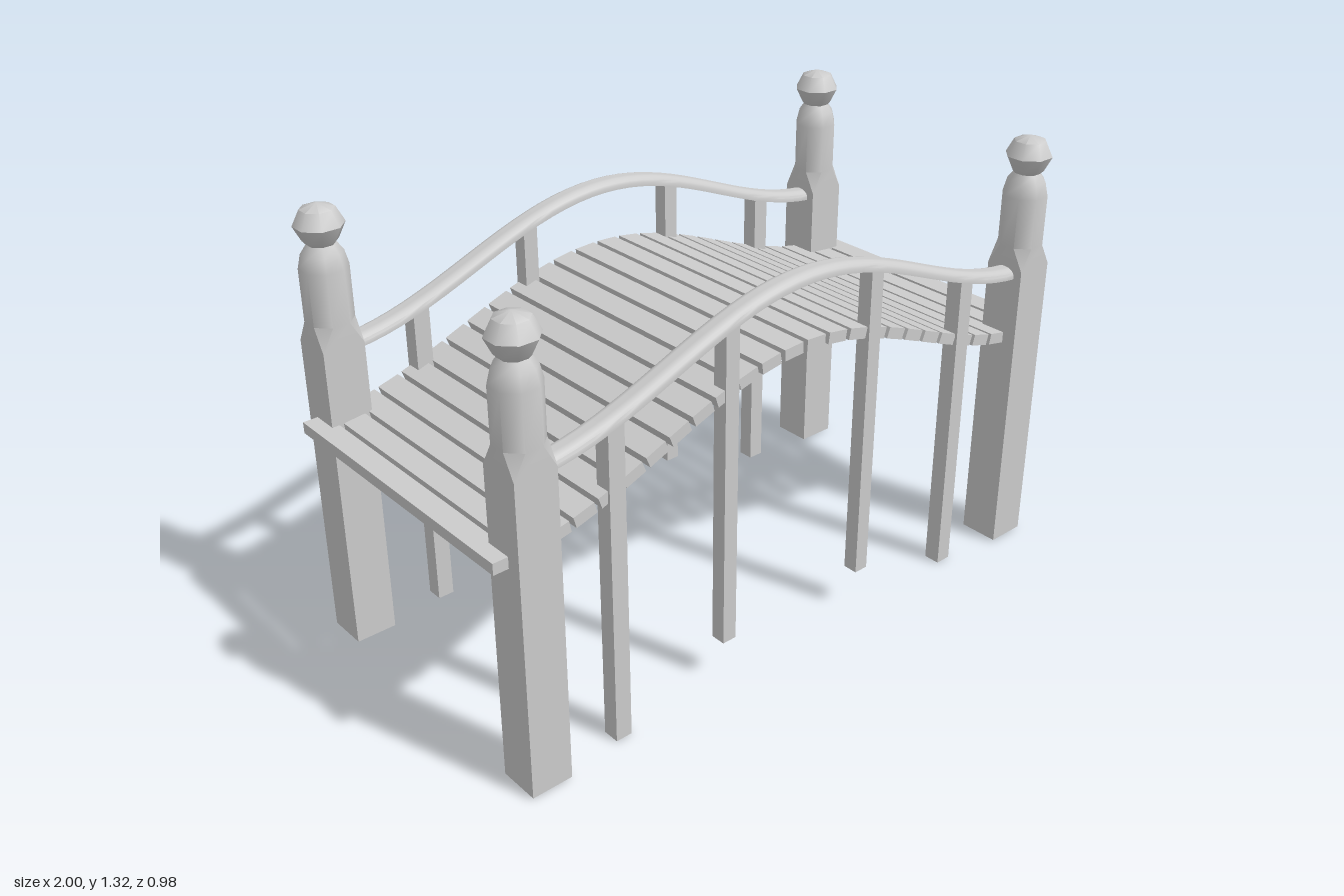
import * as THREE from 'three';
import { toCreasedNormals } from 'three/addons/utils/BufferGeometryUtils.js';

const SIDE_Z = 0.427;
const hump = (x, half) => (1 + Math.cos(Math.PI * Math.min(Math.abs(x) / half, 1))) / 2;
const deckY = (x) => 0.692 + 0.25 * hump(x, 0.97);
const railY = (x) => 0.909 + 0.235 * hump(x, 0.91);
const slope = (f, x) => (f(x + 0.001) - f(x - 0.001)) / 0.002;

// Joins rings [y, radius, spread]: spread 0 is a square, PI / 8 an octagon
function loft(rings) {
  const points = rings.map(([y, r, spread]) =>
    Array.from({ length: 8 }, (_, i) => {
      const a = Math.PI / 4 + Math.floor(i / 2) * Math.PI / 2 + (i % 2 ? spread : -spread);
      return new THREE.Vector3(r * Math.sin(a), y, r * Math.cos(a));
    }));
  const pos = [];
  const tri = (...t) => {
    if (new THREE.Triangle(...t).getArea() > 1e-8) t.forEach((p) => pos.push(p.x, p.y, p.z));
  };
  for (let k = 0; k < rings.length - 1; k++) {
    for (let i = 0; i < 8; i++) {
      const j = (i + 1) % 8;
      const a = points[k][i], b = points[k][j], c = points[k + 1][j], d = points[k + 1][i];
      tri(a, b, c);
      tri(a, c, d);
    }
  }
  const geo = new THREE.BufferGeometry();
  geo.setAttribute('position', new THREE.Float32BufferAttribute(pos, 3));
  return toCreasedNormals(geo, 0.83);
}

// Straight domed bar, bent along the rail curve
function railGeometry() {
  const shape = new THREE.Shape();
  shape.moveTo(-0.035, -0.016);
  shape.lineTo(0.035, -0.016);
  shape.lineTo(0.035, -0.004);
  shape.bezierCurveTo(0.028, 0.022, -0.028, 0.022, -0.035, -0.004);
  const length = 1.7;
  const geo = new THREE.ExtrudeGeometry(shape, { depth: length, steps: 36, curveSegments: 10, bevelEnabled: false });
  geo.translate(0, 0, -length / 2).rotateY(Math.PI / 2);
  const p = geo.attributes.position;
  for (let i = 0; i < p.count; i++) {
    const x = p.getX(i), h = p.getY(i), a = Math.atan(slope(railY, x));
    p.setXY(i, x - h * Math.sin(a), railY(x) + h * Math.cos(a));
  }
  return toCreasedNormals(geo, 0.7);
}

export function createModel() {
  const bridge = new THREE.Group();
  bridge.name = 'footbridge';
  const solid = new THREE.MeshStandardMaterial({ color: 0xcccccc });
  const open = new THREE.MeshStandardMaterial({ color: 0xcccccc, side: THREE.DoubleSide });
  const add = (name, geo, mat, x, y, z) => {
    const mesh = new THREE.Mesh(geo, mat);
    mesh.name = name;
    mesh.position.set(x, y, z);
    bridge.add(mesh);
    return mesh;
  };

  // Corner posts: square shaft, chamfered to an octagon, with a ball on a neck
  const oct = Math.PI / 8;
  const k = 1 / Math.cos(oct);
  const post = loft([
    [0.005, 0.0863, 0], [0.925, 0.0863, 0], [0.99, 0.061 * k, oct], [1.14, 0.061 * k, oct],
    [1.18, 0.052 * k, oct], [1.205, 0.036 * k, oct], [1.215, 0.044 * k, oct],
    [1.257, 0.063 * k, oct], [1.3, 0.043 * k, oct], [1.315, 0, oct],
  ]);

  // Slim stakes, open at the foot, reaching the underside of the rail
  const stake = (x, foot, width) => loft([
    [foot, width * Math.SQRT1_2, 0], [railY(x) - 0.012, width * Math.SQRT1_2, 0],
  ]);
  const outerStake = stake(0.635, 0, 0.05);
  const innerStake = stake(0.26, 0.13, 0.045);
  const rail = railGeometry();

  for (const sz of [-1, 1]) {
    const z = sz * SIDE_Z;
    add('handrail', rail, solid, 0, 0, z);
    for (const sx of [-1, 1]) {
      add('cornerPost', post, open, sx * 0.895, 0, z);
      add('outerStake', outerStake, open, sx * 0.635, 0, z);
      add('innerStake', innerStake, open, sx * 0.26, 0, z);
    }
  }

  // Deck planks, evenly spaced along the arch
  const count = 26, width = 0.066;
  const plank = new THREE.BoxGeometry(width, 0.033, 0.89);
  const path = new THREE.CatmullRomCurve3(Array.from({ length: 41 }, (_, i) => {
    const x = (i / 20 - 1) * (1 - width / 2);
    return new THREE.Vector3(x, deckY(x), 0);
  }));
  path.arcLengthDivisions = 800;
  for (let i = 0; i < count; i++) {
    const p = path.getPointAt(i / (count - 1));
    add('plank', plank, solid, p.x, p.y, 0).rotation.z = Math.atan(slope(deckY, p.x));
  }
  return bridge;
}
